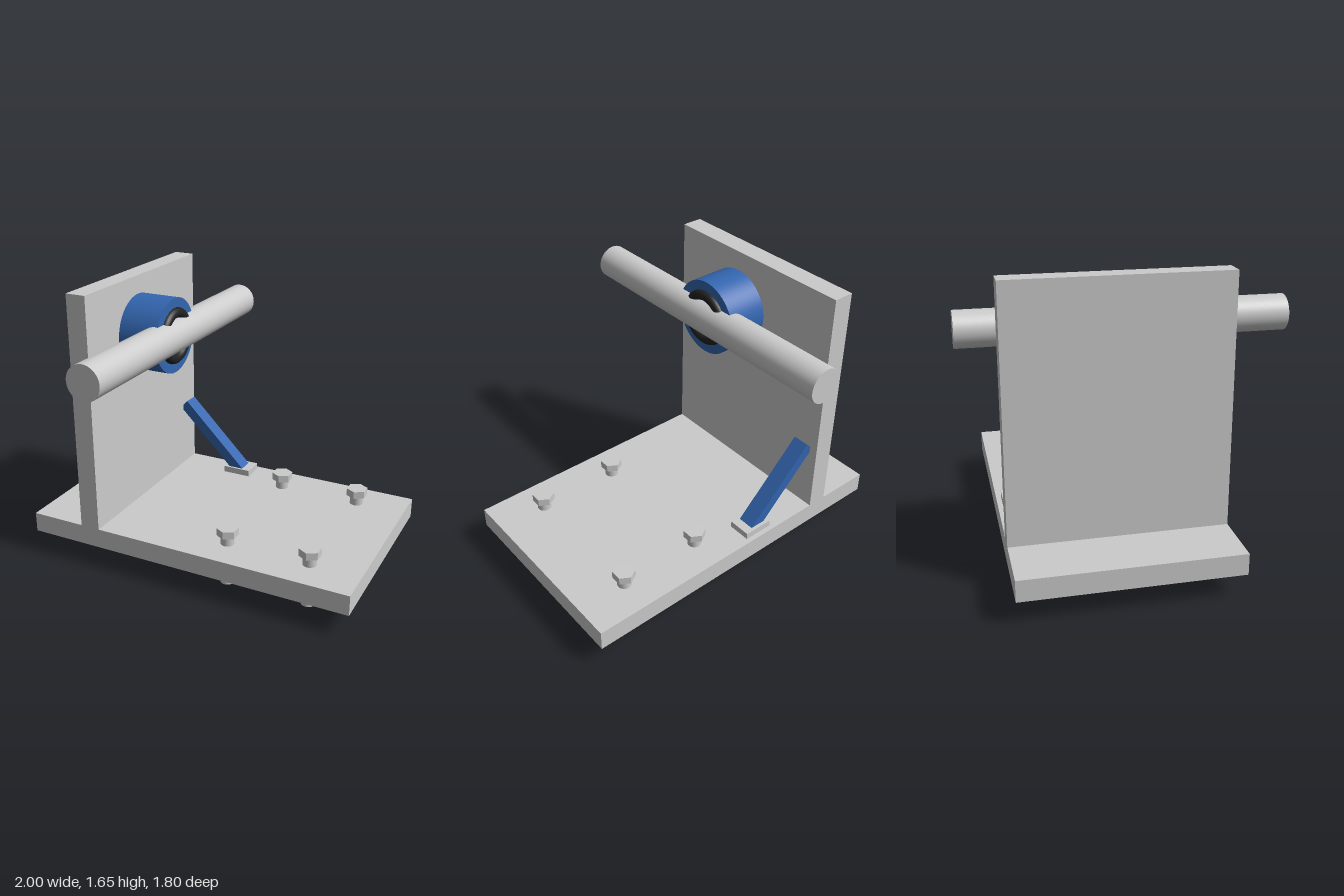
import * as THREE from 'three';

const material = (color, flatShading = false) => {
  const m = new THREE.MeshStandardMaterial({ flatShading });
  m.color.set(color);
  return m;
};

export function createModel() {
  const model = new THREE.Group();
  const grey = material(0xcccccc);
  const greyFlat = material(0xcccccc, true);
  const blue = material(0x3366b0);
  const black = material(0x222222);

  const add = (name, geometry, mat, x, y, z, parent = model) => {
    const mesh = new THREE.Mesh(geometry, mat);
    mesh.name = name;
    mesh.position.set(x, y, z);
    parent.add(mesh);
    return mesh;
  };

  // Base plate and upright wall
  add('basePlate', new THREE.BoxGeometry(2, 0.12, 1.2), grey, 0, 0.193, -0.1);
  add('uprightWall', new THREE.BoxGeometry(0.12, 1.4, 1.2), grey, -0.604, 0.953, -0.1);

  // Horizontal rod along z
  const axisY = 1.335;
  add('rod', new THREE.CylinderGeometry(0.1, 0.1, 1.8, 48), grey, -0.3, axisY, 0)
    .rotation.x = Math.PI / 2;

  // Round housing facing +x, with a dark seal ring on its face
  add('bearingHousing', new THREE.CylinderGeometry(0.22, 0.22, 0.24, 64), blue, -0.404, axisY, 0)
    .rotation.z = Math.PI / 2;
  add('sealRing', new THREE.TorusGeometry(0.135, 0.03, 20, 64), black, -0.285, axisY, 0)
    .rotation.y = Math.PI / 2;

  // Diagonal brace with its foot
  add('brace', new THREE.BoxGeometry(0.6, 0.066, 0.1), blue, -0.327, 0.465, -0.6)
    .rotation.z = -Math.PI / 4;
  add('braceFoot', new THREE.BoxGeometry(0.18, 0.04, 0.135), grey, -0.143, 0.272, -0.603);

  // Four hex bolts through the base
  const shank = new THREE.CylinderGeometry(0.04, 0.04, 0.32, 32);
  const head = new THREE.CylinderGeometry(0.064, 0.064, 0.045, 6);
  for (const x of [0.2, 0.7]) {
    for (const z of [-0.5, 0.3]) {
      const bolt = new THREE.Group();
      bolt.name = 'bolt';
      bolt.position.set(x, 0, z);
      add('boltShank', shank, grey, 0, 0.16, 0, bolt);
      add('boltHead', head, greyFlat, 0, 0.331, 0, bolt);
      model.add(bolt);
    }
  }

  return model;
}
